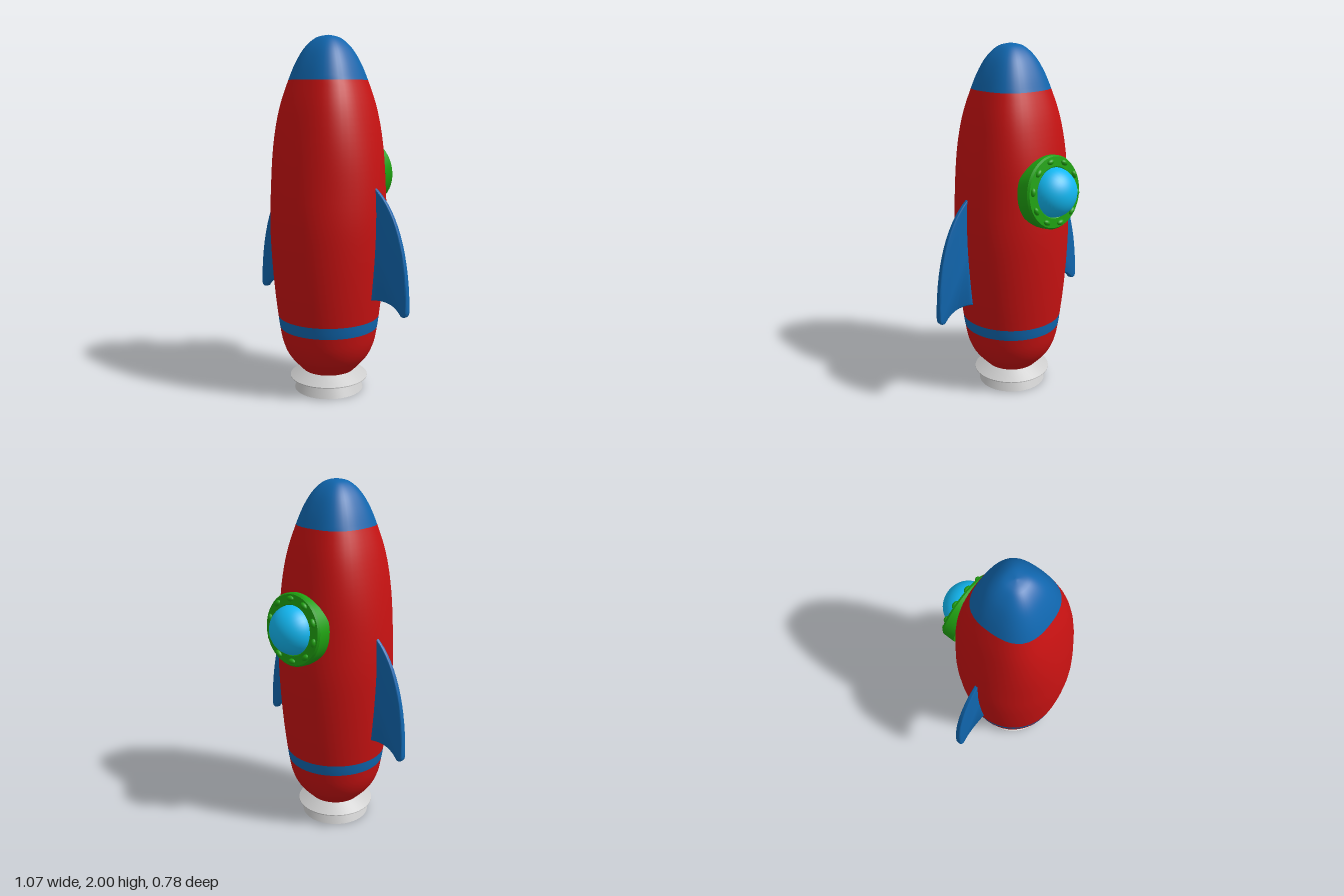
import * as THREE from 'three';
import { mergeVertices, toCreasedNormals } from 'three/addons/utils/BufferGeometryUtils.js';

const RED = 0xc81212, BLUE = 0x1066ae, GREEN = 0x1fa010, CYAN = 0x12b8f2, GREY = 0xcccccc;

// Hull radius and height, from the tail to the tip of the nose
const HULL = [
  [0.15, 0.12], [0.222, 0.2], [0.26, 0.28], [0.279, 0.375], [0.288, 0.44], [0.306, 0.6], [0.321, 0.8],
  [0.327, 1.0], [0.317, 1.2], [0.292, 1.4], [0.25, 1.6], [0.2, 1.76], [0.16, 1.86], [0.115, 1.935],
  [0.06, 1.985], [0, 2],
].map(([r, y]) => new THREE.Vector2(r, y));
const hullCurve = new THREE.SplineCurve(HULL);

function mesh(name, geometry, color) {
  const m = new THREE.Mesh(geometry, new THREE.MeshStandardMaterial({ color }));
  m.name = name;
  return m;
}

// Part of the hull between two profile points; sections turn slightly square towards the nose
function hullSection(name, from, to, color) {
  const pts = [], n = (to - from) * 5;
  for (let i = 0; i <= n; i++) {
    const p = hullCurve.getPoint((from + i / 5) / (HULL.length - 1));
    pts.push(new THREE.Vector2(Math.max(0, p.x), p.y));
  }
  let g = new THREE.LatheGeometry(pts, 48);
  const pos = g.attributes.position;
  for (let i = 0; i < pos.count; i++) {
    const x = pos.getX(i), z = pos.getZ(i);
    const k = 1 + 0.09 * THREE.MathUtils.smoothstep(pos.getY(i), 1.1, 1.7) * Math.sin(2 * Math.atan2(z, x)) ** 2;
    pos.setX(i, x * k);
    pos.setZ(i, z * k);
  }
  g.deleteAttribute('uv');
  g.deleteAttribute('normal');
  g = mergeVertices(g, 1e-5);
  g.computeVertexNormals();
  return mesh(name, g, color);
}

// Turned part with sharp edges
function turned(name, profile, color) {
  const g = new THREE.LatheGeometry(profile.map(([r, y]) => new THREE.Vector2(r, y)), 48);
  return mesh(name, toCreasedNormals(g, 0.5), color);
}

// Swept fin, thicker towards its lower edge
function finGeometry() {
  const s = new THREE.Shape();
  s.moveTo(0.318, 1.19);
  s.bezierCurveTo(0.45, 1.09, 0.53, 0.87, 0.535, 0.56);
  s.bezierCurveTo(0.536, 0.52, 0.52, 0.512, 0.497, 0.52);
  s.bezierCurveTo(0.45, 0.585, 0.38, 0.59, 0.3, 0.572);
  s.bezierCurveTo(0.32, 0.78, 0.336, 0.98, 0.318, 1.19);
  let g = new THREE.ExtrudeGeometry(s, {
    depth: 0.016, bevelThickness: 0.012, bevelSize: 0.008, bevelOffset: -0.008, bevelSegments: 3, curveSegments: 14,
  });
  g.translate(0, 0, -0.008);
  const pos = g.attributes.position;
  for (let i = 0; i < pos.count; i++) {
    pos.setZ(i, pos.getZ(i) * THREE.MathUtils.mapLinear(pos.getY(i), 0.52, 1.19, 1.0, 0.5));
  }
  return toCreasedNormals(g, 0.7);
}

function createPorthole() {
  const port = new THREE.Group();
  port.name = 'porthole';
  port.add(turned('portholeRing', [
    [0, -0.08], [0.2, -0.08], [0.2, -0.008], [0.192, 0.003], [0.14, 0.006], [0.125, -0.005],
  ], GREEN));

  // Domed glass
  const dome = mesh('portholeDome', new THREE.SphereGeometry(0.136, 32, 16, 0, Math.PI * 2, 0, Math.PI / 2), CYAN);
  dome.scale.y = 0.9;
  dome.position.y = -0.01;
  port.add(dome);

  // Rivets around the ring
  const rivet = new THREE.SphereGeometry(1, 14, 10).scale(0.015, 0.016, 0.024);
  for (let i = 0; i < 10; i++) {
    const a = (i + 0.3) / 10 * Math.PI * 2;
    const m = mesh('rivet', rivet, GREEN);
    m.position.set(Math.cos(a) * 0.169, 0.005, Math.sin(a) * 0.169);
    m.rotation.y = -a;
    port.add(m);
  }
  port.position.set(-0.003, 1.24, -0.277);
  port.rotation.x = -Math.PI / 2 + 0.11;
  return port;
}

export function createModel() {
  const rocket = new THREE.Group();
  rocket.name = 'rocket';

  // Hull and engine share an axis
  const body = new THREE.Group();
  body.name = 'body';
  body.position.set(-0.009, 0, 0.065);
  body.add(
    hullSection('tail', 0, 3, RED),
    hullSection('band', 3, 4, BLUE),
    hullSection('hull', 4, 11, RED),
    hullSection('noseCone', 11, HULL.length - 1, BLUE),
    turned('engineNozzle', [
      [0, 0], [0.197, 0], [0.163, 0.072], [0.222, 0.072], [0.222, 0.077], [0.15, 0.12], [0, 0.12],
    ], GREY),
  );
  rocket.add(body);

  // Fins, half a turn apart
  const fin = finGeometry();
  ['leftFin', 'rightFin'].forEach((name, i) => {
    const m = mesh(name, fin, BLUE);
    m.position.z = 0.06;
    m.rotation.y = i * Math.PI - 0.034;
    rocket.add(m);
  });

  rocket.add(createPorthole());
  return rocket;
}
